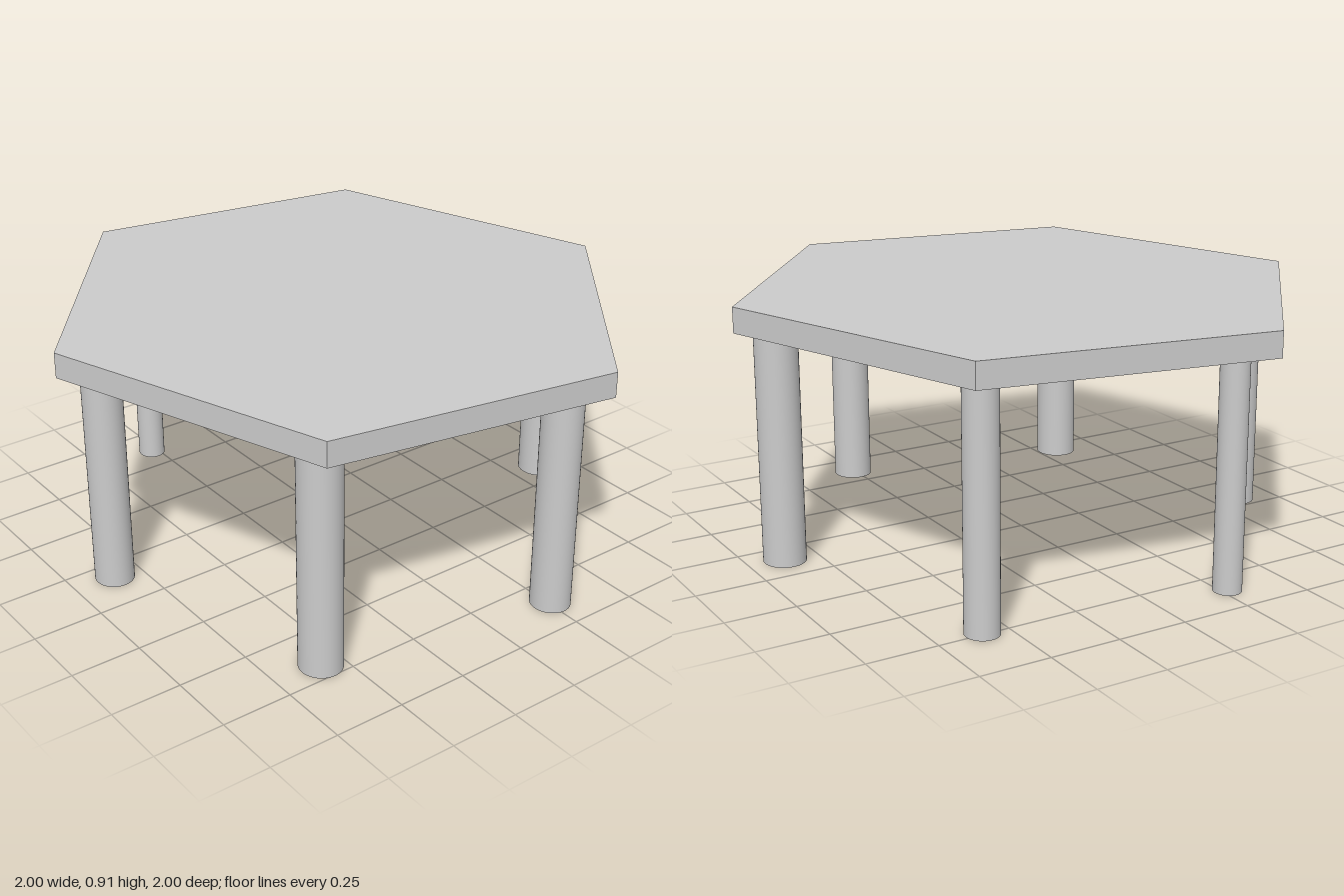
import * as THREE from 'three';

const TOP_BOTTOM = 0.815;
const TOP_THICKNESS = 0.09;

// Tabletop corners (x, z)
const CORNERS = [[0.185, -1], [1, -0.35], [0.815, 0.65], [-0.185, 1], [-1, 0.35], [-0.815, -0.65]];

// Legs (x, z, radius), one inside each corner, of differing thickness
const LEGS = [
  [0.142, -0.869, 0.074],
  [0.858, -0.262, 0.069],
  [0.678, 0.577, 0.074],
  [-0.17, 0.846, 0.068],
  [-0.863, 0.273, 0.0485],
  [-0.74, -0.591, 0.058],
];

export function createModel() {
  const model = new THREE.Group();
  model.name = 'hexagonalTable';
  const material = new THREE.MeshStandardMaterial({ color: 0xcccccc });

  // Six-sided slab, laid flat
  const outline = new THREE.Shape(CORNERS.map(([x, z]) => new THREE.Vector2(x, -z)));
  const slab = new THREE.ExtrudeGeometry(outline, { depth: TOP_THICKNESS, bevelEnabled: false });
  slab.rotateX(-Math.PI / 2);
  const tabletop = new THREE.Mesh(slab, material);
  tabletop.name = 'tabletop';
  tabletop.position.y = TOP_BOTTOM;
  model.add(tabletop);

  // Round legs, slightly wider along x
  LEGS.forEach(([x, z, r], i) => {
    const leg = new THREE.Mesh(new THREE.CylinderGeometry(r, r, TOP_BOTTOM, 48), material);
    leg.name = `leg${i + 1}`;
    leg.scale.x = 1.05;
    leg.position.set(x, TOP_BOTTOM / 2, z);
    model.add(leg);
  });

  return model;
}
